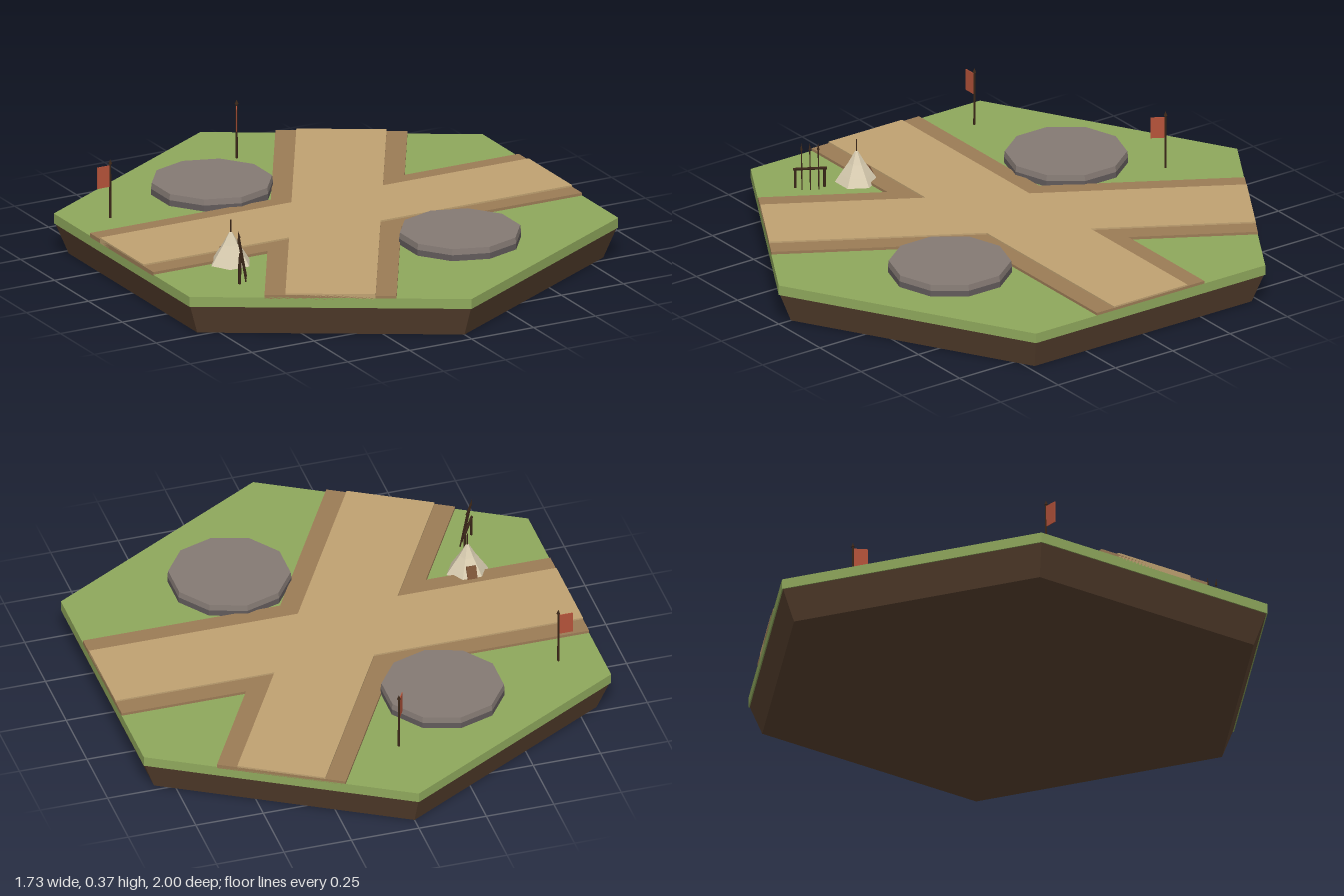
import * as THREE from 'three';

const mat = (color, extra = {}) => {
  const m = new THREE.MeshStandardMaterial({ color, flatShading: true, ...extra });
  return m;
};
const MAT = {
  grass: mat(0x8fa85c), dirt: mat(0x5a4230), path: mat(0xc0a272), verge: mat(0x9c7c56),
  stone: mat(0x857a74), stoneDark: mat(0x625b5b), wood: mat(0x3a2618),
  flag: mat(0xb5533a), canvas: mat(0xd8ccb0), door: mat(0x7a5236),
};
const GROUND = 0.15;
const AP = Math.sqrt(3) / 2; // apothem of the hexagonal tile

function add(parent, name, geometry, material, x = 0, y = 0, z = 0) {
  const mesh = new THREE.Mesh(geometry, material);
  mesh.name = name;
  mesh.position.set(x, y, z);
  parent.add(mesh);
  return mesh;
}

// Upright prism or frustum from y0 to y1
function drum(parent, name, rTop, rBottom, y0, y1, sides, material, x = 0, z = 0) {
  return add(parent, name, new THREE.CylinderGeometry(rTop, rBottom, y1 - y0, sides), material, x, (y0 + y1) / 2, z);
}

// Thin round rod between two points
function rod(parent, name, a, b, r, material, rEnd = r) {
  const from = new THREE.Vector3(...a), dir = new THREE.Vector3(...b).sub(from);
  const mesh = add(parent, name, new THREE.CylinderGeometry(rEnd, r, dir.length(), 6), material);
  mesh.position.copy(from).addScaledVector(dir, 0.5);
  mesh.quaternion.setFromUnitVectors(new THREE.Vector3(0, 1, 0), dir.normalize());
  return mesh;
}

// Crossing of two roads at 60 degrees, as one slab of half-width w
function crossing(w, top) {
  const near = w / AP - w * 0.5 / AP, far = w / AP + w * 0.5 / AP;
  // half of the outline (x, up = -z); the other half is its point reflection
  const half = [
    [AP, -w], [AP, w], [far, w],
    [AP * 0.5 + w * AP, AP * AP - w * 0.5],
    [AP * 0.5 - w * AP, AP * AP + w * 0.5],
    [-near, w],
  ];
  const pts = [...half, ...half.map(([x, y]) => [-x, -y])];
  const shape = new THREE.Shape(pts.map(([x, y]) => new THREE.Vector2(x, y)));
  const geo = new THREE.ExtrudeGeometry(shape, { depth: top - GROUND + 0.005, bevelEnabled: false });
  return geo.rotateX(-Math.PI / 2).translate(0, GROUND - 0.005, 0);
}

// Pole with a square banner; angle turns the banner from +x about y
function banner(parent, x, z, angle) {
  const g = new THREE.Group();
  g.name = 'banner';
  drum(g, 'bannerPole', 0.0035, 0.0045, 0, 0.205, 6, MAT.wood);
  drum(g, 'poleTip', 0, 0.007, 0.203, 0.22, 6, MAT.wood);
  add(g, 'bannerCloth', new THREE.BoxGeometry(0.052, 0.08, 0.003), MAT.flag, 0.027, 0.157, 0);
  g.position.set(x, GROUND, z);
  g.rotation.y = angle;
  parent.add(g);
}

function tent(parent, x, z) {
  const g = new THREE.Group();
  g.name = 'tent';
  const profile = [[0.077, 0], [0.058, 0.03], [0.03, 0.072], [0.006, 0.115], [0, 0.117]]
    .map(([r, y]) => new THREE.Vector2(r, y));
  const cover = add(g, 'tentCover', new THREE.LatheGeometry(profile, 6), mat(0xd8ccb0, { side: THREE.DoubleSide }));
  cover.rotation.y = Math.PI / 6;
  drum(g, 'tentPole', 0.002, 0.003, 0.1, 0.162, 6, MAT.wood);
  const door = add(g, 'tentDoor', new THREE.BoxGeometry(0.036, 0.052, 0.012), MAT.door, 0, 0.026, -0.052);
  door.rotation.x = 0.45;
  g.position.set(x, GROUND, z);
  parent.add(g);
}

// Rail on two posts with three spears leaning on it
function spearRack(parent, x, z, angle) {
  const g = new THREE.Group();
  g.name = 'spearRack';
  for (const s of [-1, 1]) rod(g, 'rackPost', [s * 0.052, 0, 0], [s * 0.052, 0.075, 0], 0.005, MAT.wood);
  rod(g, 'rackRail', [-0.06, 0.072, 0], [0.06, 0.072, 0], 0.005, MAT.wood);
  for (const i of [-1, 0, 1]) {
    const sx = i * 0.03;
    rod(g, 'spearShaft', [sx, 0, 0.022], [sx, 0.148, -0.004], 0.0025, MAT.wood);
    rod(g, 'spearHead', [sx, 0.143, -0.003], [sx, 0.168, -0.007], 0.005, MAT.wood, 0);
  }
  g.position.set(x, GROUND, z);
  g.rotation.y = angle;
  parent.add(g);
}

export function createModel() {
  const model = new THREE.Group();
  model.name = 'hexTile';

  // Ground
  drum(model, 'dirtBase', 0.995, 0.947, 0, 0.113, 6, MAT.dirt);
  drum(model, 'grassSlab', 1, 1, 0.113, GROUND, 6, MAT.grass);

  // Roads with verges
  add(model, 'roadVerge', crossing(0.234, 0.16), MAT.verge);
  add(model, 'roadSurface', crossing(0.16, 0.166), MAT.path);

  // Two ten-sided stone platforms
  for (const s of [-1, 1]) {
    drum(model, 'platformFoot', 0.22, 0.22, GROUND, 0.172, 10, MAT.stoneDark, s * 0.26, s * 0.44);
    drum(model, 'platformTop', 0.217, 0.22, 0.172, 0.194, 10, MAT.stone, s * 0.26, s * 0.44);
  }

  // Camp
  banner(model, -0.712, -0.365, Math.PI);
  banner(model, -0.018, -0.7, -Math.PI * 2 / 3);
  tent(model, -0.565, 0.255);
  spearRack(model, -0.618, 0.42, Math.PI / 3);
  return model;
}
